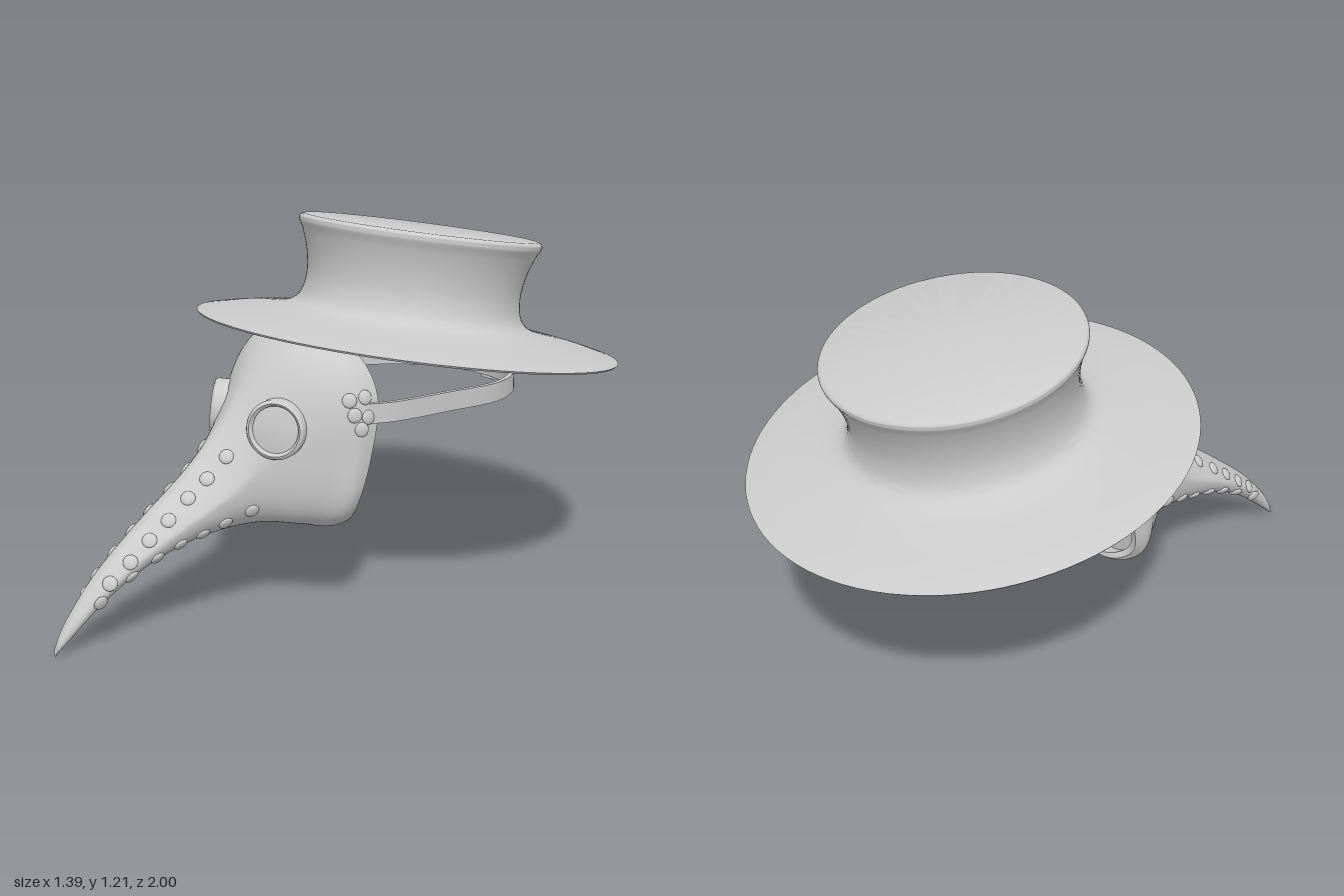
import * as THREE from 'three';
import { toCreasedNormals } from 'three/addons/utils/BufferGeometryUtils.js';

const material = new THREE.MeshStandardMaterial({ color: 0xcccccc });
const UP = new THREE.Vector3(0, 1, 0);
const V = (x, y, z) => new THREE.Vector3(x, y, z);

function part(name, geometry, parent) {
  const mesh = new THREE.Mesh(geometry, material);
  mesh.name = name;
  parent.add(mesh);
  return mesh;
}

// Smooth interpolation through [position, value] pairs
function profile(points) {
  const slope = i => {
    const a = points[Math.max(i - 1, 0)], b = points[Math.min(i + 1, points.length - 1)];
    return (b[1] - a[1]) / (b[0] - a[0]);
  };
  return p => {
    let i = 0;
    while (i < points.length - 2 && p > points[i + 1][0]) i++;
    const [p0, v0] = points[i], [p1, v1] = points[i + 1];
    const d = p1 - p0, t = THREE.MathUtils.clamp((p - p0) / d, 0, 1), t2 = t * t, t3 = t2 * t;
    return (2 * t3 - 3 * t2 + 1) * v0 + (t3 - 2 * t2 + t) * d * slope(i)
      + (3 * t2 - 2 * t3) * v1 + (t3 - t2) * d * slope(i + 1);
  };
}

// Skin over a sequence of closed rings of points
function loft(rings, crease) {
  const n = rings[0].length, index = [];
  for (let i = 0; i < rings.length - 1; i++) {
    for (let j = 0; j < n; j++) {
      const k = (j + 1) % n;
      const a = i * n + j, b = i * n + k, c = b + n, d = a + n;
      index.push(a, b, d, b, c, d);
    }
  }
  const geometry = new THREE.BufferGeometry().setFromPoints(rings.flat());
  geometry.setIndex(index);
  return toCreasedNormals(geometry, crease);
}

// Flat band following a curve
function ribbon(points, wideAxis, width, thick) {
  const curve = new THREE.CatmullRomCurve3(points);
  const rings = [], steps = 60;
  for (let i = 0; i <= steps; i++) {
    const p = curve.getPointAt(i / steps);
    const n = curve.getTangentAt(i / steps).cross(wideAxis).normalize();
    const ring = [[1, 1], [-1, 1], [-1, -1], [1, -1]].map(([a, b]) =>
      p.clone().addScaledVector(wideAxis, a * width / 2).addScaledVector(n, b * thick / 2));
    const end = [p, p, p, p];
    if (i === 0) rings.push(end);
    rings.push(ring);
    if (i === steps) rings.push(end);
  }
  return loft(rings, 0.6);
}

// Mask outline along z: top edge, bottom edge, half width, roundness above and below
const top = profile([[0.04, 0.862], [0.08, 0.872], [0.14, 0.876], [0.2, 0.855], [0.25, 0.817], [0.3, 0.762],
  [0.36, 0.68], [0.44, 0.585], [0.55, 0.478], [0.7, 0.355], [0.85, 0.225], [0.95, 0.11], [0.985, 0.055], [1, 0.018]]);
const bottom = profile([[0.04, 0.295], [0.08, 0.277], [0.14, 0.265], [0.2, 0.275], [0.3, 0.288], [0.45, 0.284],
  [0.6, 0.258], [0.75, 0.198], [0.87, 0.115], [0.95, 0.045], [1, 0]]);
const half = profile([[0.04, 0.312], [0.1, 0.315], [0.15, 0.3], [0.2, 0.27], [0.25, 0.232], [0.3, 0.185],
  [0.36, 0.15], [0.45, 0.128], [0.6, 0.1], [0.75, 0.07], [0.88, 0.042], [0.96, 0.022], [1, 0.008]]);
const roundTop = profile([[0.04, 2.8], [0.2, 2.5], [0.31, 2], [0.45, 1.28], [0.6, 1.25], [1, 1.7]]);
const roundBottom = profile([[0.04, 4], [0.2, 3.6], [0.4, 2.4], [0.7, 2], [1, 2]]);
const rimZ = profile([[0.27, 0.055], [0.3, 0.062], [0.34, 0.095], [0.4, 0.1], [0.55, 0.065], [0.7, 0.04], [0.88, 0.06]]);

function maskRing(s, count = 80) {
  const mid = (top(s) + bottom(s)) / 2, h = (top(s) - bottom(s)) / 2;
  return Array.from({ length: count }, (_, j) => {
    const a = j / count * Math.PI * 2, c = Math.cos(a), d = Math.sin(a);
    const e = 2 / (d >= 0 ? roundTop(s) : roundBottom(s));
    const y = mid + h * Math.sign(d) * Math.abs(d) ** e;
    const z = s < 0.2 ? THREE.MathUtils.lerp(rimZ(y), 0.2, (s - 0.04) / 0.16) : s;
    return V(half(s) * Math.sign(c) * Math.abs(c) ** e, y, z);
  });
}

// Half width of the mask at a given height and depth
function surfaceX(y, z) {
  const mid = (top(z) + bottom(z)) / 2, h = (top(z) - bottom(z)) / 2;
  const c = Math.min(Math.abs((y - mid) / h), 0.999);
  const n = y > mid ? roundTop(z) : roundBottom(z);
  return half(z) * (1 - c ** n) ** (1 / n);
}

function buildMask(root) {
  const mask = new THREE.Group();
  mask.name = 'mask';
  root.add(mask);

  // Beaked shell, closed at the tip
  const rings = [];
  for (let i = 0; i <= 64; i++) rings.push(maskRing(0.04 + 0.96 * i / 64));
  rings.push(rings[0].map(() => V(0, 0.005, 1)));
  part('beakedShell', loft(rings, 0.9), mask);

  // Rim and recessed backing
  const rim = rings[0];
  const inset = rim.map(p => V(p.x * 0.93, 0.57 + (p.y - 0.57) * 0.95, p.z));
  const recess = inset.map(p => V(p.x, p.y, 0.105));
  part('backing', loft([rim.map(() => V(0, 0.57, 0.105)), recess, inset, rim], 0.5), mask);

  // Eyepieces: rounded rim around a shallow lens
  const eyeProfile = [[0.092, -0.03], [0.092, 0.008], [0.088, 0.016], [0.081, 0.019], [0.075, 0.015],
    [0.072, 0.006], [0.05, 0.009], [0.025, 0.011], [0, 0.012]].map(p => new THREE.Vector2(...p));
  const eyeGeometry = toCreasedNormals(new THREE.LatheGeometry(eyeProfile, 48), 0.9);
  for (const side of [1, -1]) {
    const normal = V(side * 0.61, 0.1, 0.78).normalize();
    const eye = part('eyepiece', eyeGeometry, mask);
    eye.position.set(side * 0.155, 0.615, 0.31).addScaledVector(normal, 0.013);
    eye.quaternion.setFromUnitVectors(UP, normal);
  }

  // Rivets [z, y]: upper beak seam, lower beak seam, strap anchors
  const rivets = [
    [0.44, 0.53], [0.505, 0.47], [0.57, 0.42], [0.64, 0.365], [0.705, 0.315], [0.77, 0.26], [0.835, 0.205],
    [0.385, 0.36], [0.465, 0.33], [0.535, 0.305], [0.61, 0.287], [0.685, 0.258], [0.765, 0.212], [0.865, 0.15],
    [0.09, 0.71], [0.085, 0.65], [0.13, 0.66], [0.14, 0.705], [0.11, 0.615],
  ];
  const rivetGeometry = new THREE.SphereGeometry(0.023, 16, 10).scale(1, 0.4, 1);
  const e = 0.004;
  for (const [z, y] of rivets) {
    const x = surfaceX(y, z);
    const dy = (surfaceX(y + e, z) - surfaceX(y - e, z)) / (2 * e);
    const dz = (surfaceX(y, z + e) - surfaceX(y, z - e)) / (2 * e);
    for (const side of [1, -1]) {
      const rivet = part('rivet', rivetGeometry, mask);
      rivet.position.set(side * x, y, z);
      rivet.quaternion.setFromUnitVectors(UP, V(side, -side * dy * side, -dz).normalize());
    }
  }
  part('foreheadStud', rivetGeometry, mask).position.set(0, 0.878, 0.14);
}

function buildStraps(root) {
  // Band around the head
  const side = [[0.295, 0.66, 0.1], [0.328, 0.66, 0.02], [0.338, 0.66, -0.2], [0.305, 0.65, -0.45], [0.18, 0.643, -0.62]];
  const points = [...side.map(p => V(...p)), V(0, 0.64, -0.672),
    ...side.slice().reverse().map(([x, y, z]) => V(-x, y, z))];
  part('headBand', ribbon(points, UP, 0.062, 0.016), root);

  // Band over the crown of the head, looped round the back of the head band
  const over = [[0.87, 0.13], [0.885, 0.04], [0.93, -0.04], [0.98, -0.18], [0.97, -0.4], [0.88, -0.58],
    [0.74, -0.67], [0.67, -0.687], [0.595, -0.682]].map(([y, z]) => V(0, y, z));
  part('overheadBand', ribbon(over, V(1, 0, 0), 0.055, 0.014), root);
}

function buildHat(root) {
  const hat = new THREE.Group();
  hat.name = 'hat';
  hat.position.set(0, 0.803, -0.3125);
  hat.rotation.x = -0.155;
  root.add(hat);

  const toPoints = list => list.map(p => new THREE.Vector2(...p));
  const inside = [[0, 0.325], [0.37, 0.322], [0.352, 0.25], [0.338, 0.15], [0.342, 0.06], [0.35, 0], [0.52, 0], [0.69, -0.004]];
  const outside = new THREE.SplineCurve(toPoints([[0.695, 0.002], [0.62, 0.018], [0.53, 0.032], [0.44, 0.049],
    [0.39, 0.068], [0.364, 0.1], [0.353, 0.16], [0.361, 0.23], [0.381, 0.295], [0.398, 0.33], [0.396, 0.345], [0.383, 0.351]]));
  const outline = [...toPoints(inside), ...outside.getPoints(44), new THREE.Vector2(0, 0.352)];
  part('brimAndCrown', toCreasedNormals(new THREE.LatheGeometry(outline, 96), 0.6), hat);
}

export function createModel() {
  const root = new THREE.Group();
  root.name = 'beakedMaskWithHat';
  buildMask(root);
  buildStraps(root);
  buildHat(root);
  return root;
}
